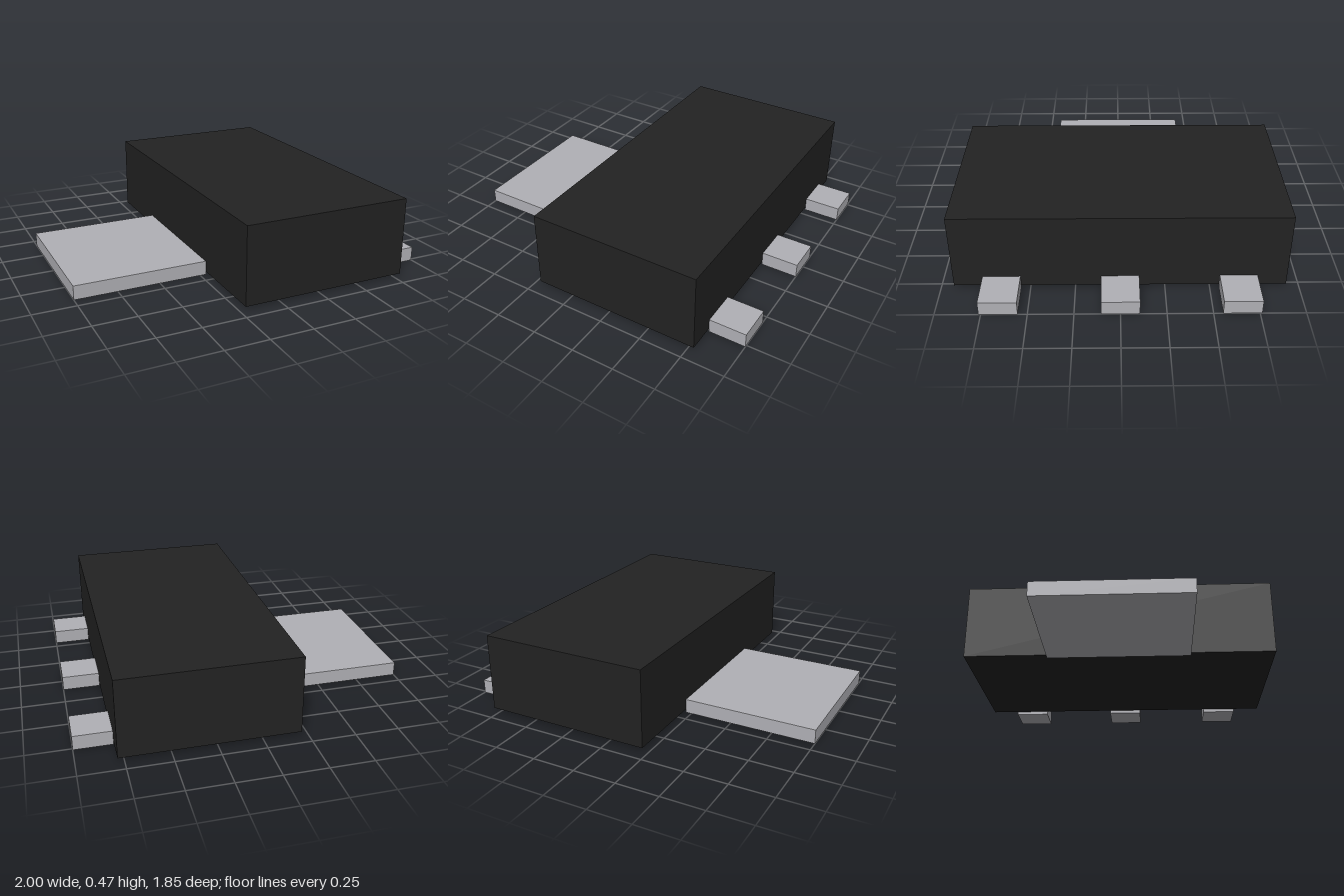
import * as THREE from 'three';

const plastic = new THREE.MeshStandardMaterial({ color: 0x222222 });
plastic.name = 'black plastic';
const metal = new THREE.MeshStandardMaterial({ color: 0xb0b0b5 });
metal.name = 'grey metal';

// Box given by its extents along each axis
function block(name, material, [x0, x1], [y0, y1], [z0, z1]) {
  const mesh = new THREE.Mesh(new THREE.BoxGeometry(x1 - x0, y1 - y0, z1 - z0), material);
  mesh.position.set((x0 + x1) / 2, (y0 + y1) / 2, (z0 + z1) / 2);
  mesh.name = name;
  return mesh;
}

export function createModel() {
  const model = new THREE.Group();
  model.name = 'transistorPackage';

  const bodyLeft = 0.785, bodyRight = -0.215;
  const metalHeight = [0, 0.083];

  // Moulded body, slightly raised off the board
  model.add(block('body', plastic, [bodyRight, bodyLeft], [0.02, 0.475], [-0.926, 0.926]));

  // Wide heat-sink tab
  model.add(block('tab', metal, [-1, bodyRight], metalHeight, [-0.426, 0.426]));

  // Three narrow leads on the opposite side
  ['backLead', 'middleLead', 'frontLead'].forEach((name, i) => {
    const z = (i - 1) * 0.657;
    model.add(block(name, metal, [bodyLeft, 1], metalHeight, [z - 0.105, z + 0.105]));
  });

  return model;
}
